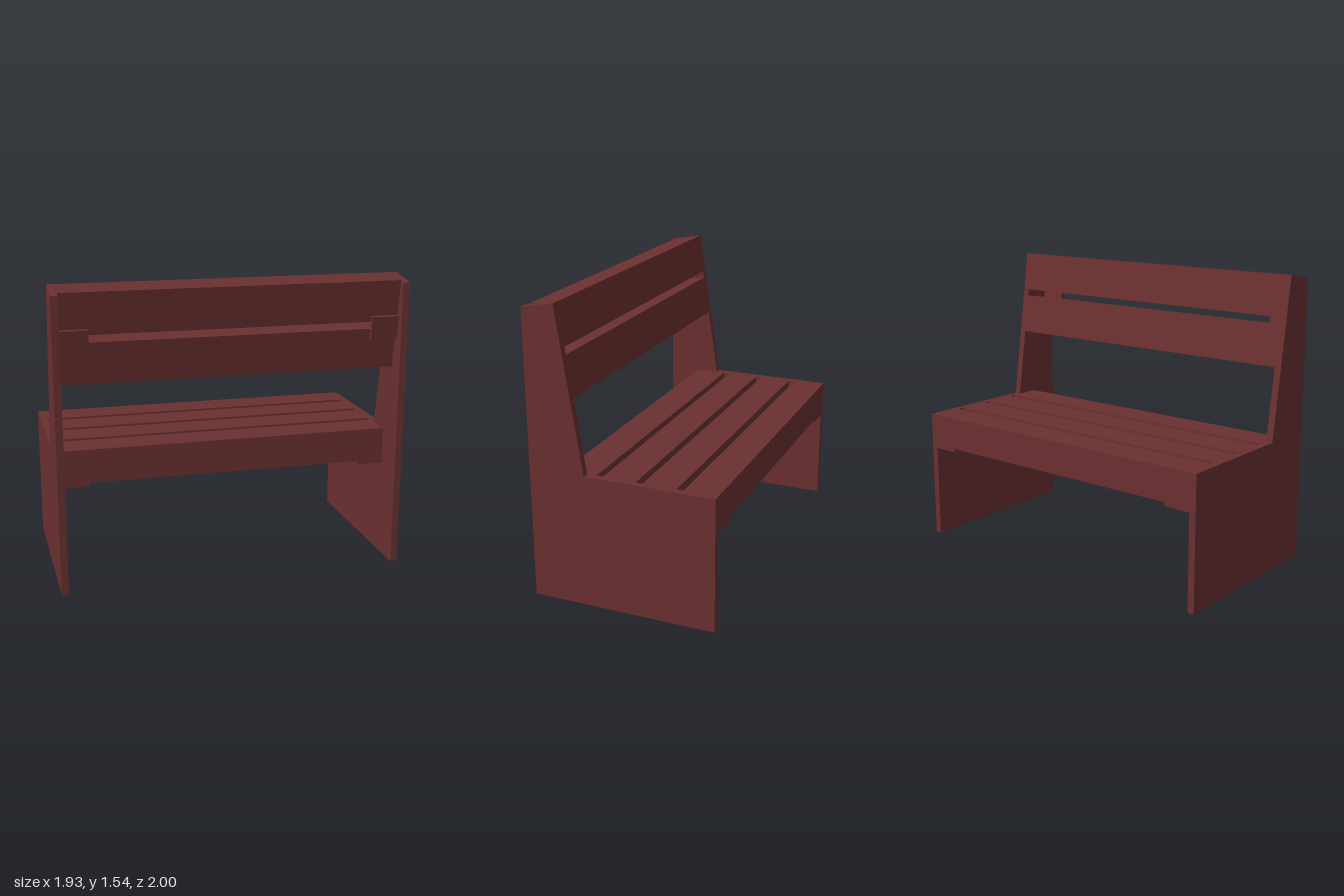
import * as THREE from 'three';

const HALF = 0.902;     // half length of the bench
const SIDE = 0.036;     // thickness of the side boards
const INNER = HALF - SIDE;
const FRONT = -0.488, BACK = 0.488;

export function createModel() {
  const model = new THREE.Group();
  model.name = 'bench';
  const wood = new THREE.MeshStandardMaterial({ color: 0x6b3030, flatShading: true });

  // Box given by its limits on each axis
  function box(name, parent, [x0, x1], [y0, y1], [z0, z1]) {
    const mesh = new THREE.Mesh(new THREE.BoxGeometry(x1 - x0, y1 - y0, z1 - z0), wood);
    mesh.position.set((x0 + x1) / 2, (y0 + y1) / 2, (z0 + z1) / 2);
    mesh.name = name;
    parent.add(mesh);
    return mesh;
  }

  // Everything is built along x, then turned diagonally
  const bench = new THREE.Group();
  bench.name = 'benchBody';
  bench.rotation.y = 0.841;
  model.add(bench);

  // Side boards: leg, seat end and sloping back post in one profile (-z, y)
  const profile = new THREE.Shape([
    [FRONT, 0], [BACK, 0], [BACK, 1.51], [0.317, 1.54], [0.19, 0.7], [FRONT, 0.7],
  ].map(([z, y]) => new THREE.Vector2(-z, y)));
  const sideGeometry = new THREE.ExtrudeGeometry(profile, { depth: SIDE, bevelEnabled: false });
  sideGeometry.rotateY(Math.PI / 2);
  for (const [name, x] of [['rightSide', -HALF], ['leftSide', INNER]]) {
    const side = new THREE.Mesh(sideGeometry, wood);
    side.position.x = x;
    side.name = name;
    bench.add(side);
  }

  // Seat: four thick slats with narrow gaps
  const slat = 0.174, gap = 0.0355;
  for (let i = 0; i < 4; i++) {
    const z = FRONT + i * (slat + gap);
    box('seatSlat', bench, [-INNER, INNER], [0.525, 0.7], [z, z + slat]);
  }

  // Backrest: two boards leaning with the posts, hung from the top front edge
  const backrest = new THREE.Group();
  backrest.name = 'backrest';
  backrest.position.set(0, 1.54, 0.317);
  backrest.rotation.x = 0.15;
  bench.add(backrest);
  const depth = 0.145, height = 0.2145, pitch = 0.2525;
  for (let i = 0; i < 2; i++) {
    box('backBoard', backrest, [-INNER, INNER], [-i * pitch - height, -i * pitch], [0, depth]);
  }

  // Cleats joining the slats at both ends
  for (const s of [-1, 1]) {
    const span = s < 0 ? [-INNER, -0.724] : [0.724, INNER];
    box('seatCleat', bench, span, [0.505, 0.525], [FRONT, 0.314]);
    box('backCleat', backrest, span, [-0.305, -0.184], [depth, depth + 0.02]);
  }

  return model;
}
